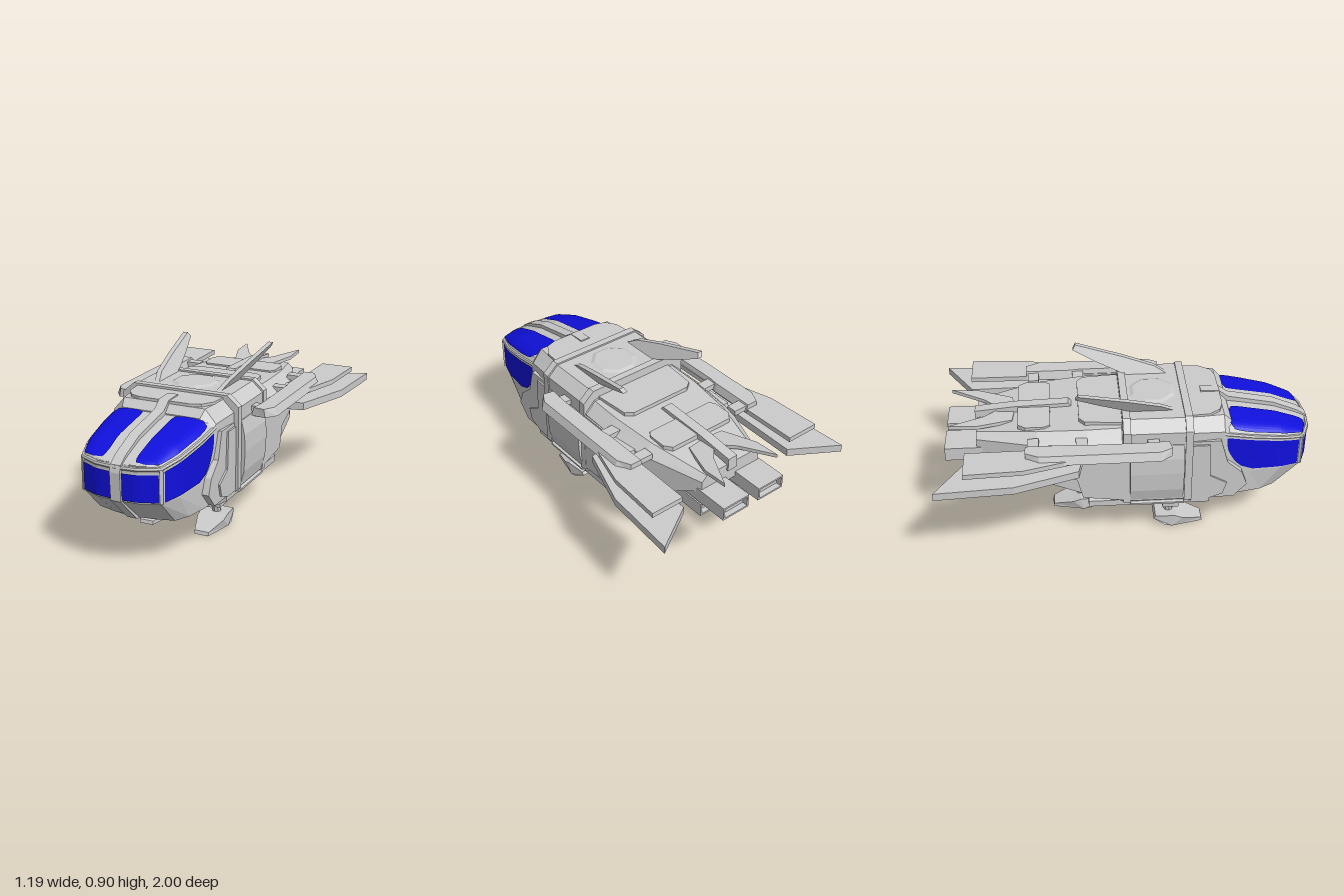
import * as THREE from 'three';

const grey = new THREE.MeshStandardMaterial({ color: 0xcccccc, flatShading: true, side: THREE.DoubleSide });
const blue = new THREE.MeshStandardMaterial({ color: 0x1010dd, flatShading: true, side: THREE.DoubleSide });
const lerp = THREE.MathUtils.lerp;

// piecewise-linear lookup in rows [key, value] with rising keys
function lookup(rows, k) {
  if (k <= rows[0][0]) return rows[0][1];
  for (let i = 1; i < rows.length; i++) {
    const [a, va] = rows[i - 1], [b, vb] = rows[i];
    if (k <= b) return lerp(va, vb, (k - a) / (b - a));
  }
  return rows[rows.length - 1][1];
}

function fromTriangles(pos) {
  const g = new THREE.BufferGeometry();
  g.setAttribute('position', new THREE.Float32BufferAttribute(pos, 3));
  g.computeVertexNormals();
  return g;
}

// surface grid from fn(u, v) -> [x, y, z]
function patch(fn, nu, nv) {
  const pos = [];
  for (let i = 0; i < nu; i++) for (let j = 0; j < nv; j++) {
    const a = fn(i / nu, j / nv), b = fn((i + 1) / nu, j / nv);
    const c = fn((i + 1) / nu, (j + 1) / nv), d = fn(i / nu, (j + 1) / nv);
    pos.push(...a, ...c, ...b, ...a, ...d, ...c);
  }
  return fromTriangles(pos);
}

// loft of chamfered sections, front to back: [z, halfWidth, bottom, top, chamferX, topChamferY, bottomChamferY]
function loft(stations) {
  const rings = stations.map(([z, w, y0, y1, c, ct, cb]) => [
    [w, y0 + cb, z], [w, y1 - ct, z], [w - c, y1, z], [c - w, y1, z],
    [-w, y1 - ct, z], [-w, y0 + cb, z], [c * 1.5 - w, y0, z], [w - c * 1.5, y0, z]]);
  const pos = [], n = 8;
  for (let s = 0; s + 1 < rings.length; s++) for (let i = 0; i < n; i++) {
    const k = (i + 1) % n, a = rings[s][i], b = rings[s][k], c = rings[s + 1][k], d = rings[s + 1][i];
    pos.push(...a, ...d, ...c, ...a, ...c, ...b);
  }
  const f = rings[0], r = rings[rings.length - 1];
  for (let i = 1; i < n - 1; i++) pos.push(...f[0], ...f[i], ...f[i + 1], ...r[0], ...r[i + 1], ...r[i]);
  return fromTriangles(pos);
}

function extrude(points, depth) {
  const shape = new THREE.Shape(points.map(p => new THREE.Vector2(...p)));
  return new THREE.ExtrudeGeometry(shape, { depth, bevelEnabled: false });
}
// plate outlined in plan by [x, z]
const planPlate = (pts, y0, y1) => extrude(pts.map(([x, z]) => [x, -z]), y1 - y0).rotateX(-Math.PI / 2).translate(0, y0, 0);
// plate outlined from the side by [z, y]
const sidePlate = (pts, x0, x1) => extrude(pts.map(([z, y]) => [-z, y]), x1 - x0).rotateY(Math.PI / 2).translate(x0, 0, 0);
const box = (x0, x1, y0, y1, z0, z1) =>
  new THREE.BoxGeometry(x1 - x0, y1 - y0, z1 - z0).translate((x0 + x1) / 2, (y0 + y1) / 2, (z0 + z1) / 2);

function moveVertices(g, rule) {
  const p = g.attributes.position, v = new THREE.Vector3();
  for (let i = 0; i < p.count; i++) {
    rule(v.fromBufferAttribute(p, i));
    p.setXYZ(i, v.x, v.y, v.z);
  }
  g.computeVertexNormals();
  return g;
}

// mirrored copy in x with the corner order put right
function mirror(g) {
  const m = g.index ? g.toNonIndexed() : g.clone();
  const p = m.attributes.position, a = new THREE.Vector3(), b = new THREE.Vector3();
  for (let i = 0; i < p.count; i += 3) {
    a.fromBufferAttribute(p, i + 1); b.fromBufferAttribute(p, i + 2);
    p.setXYZ(i + 1, b.x, b.y, b.z); p.setXYZ(i + 2, a.x, a.y, a.z);
  }
  m.scale(-1, 1, 1);
  m.computeVertexNormals();
  return m;
}

export function createModel() {
  const model = new THREE.Group();
  const add = (name, g, mat = grey) => {
    const m = new THREE.Mesh(g, mat);
    m.name = name;
    model.add(m);
  };
  const pair = (name, g, mat) => { add(name + 'Left', g, mat); add(name + 'Right', mirror(g), mat); };

  // main hull, hoop section and belly
  add('hull', loft([
    [0.54, 0.28, 0.235, 0.69, 0.06, 0.07, 0.04], [0.5, 0.29, 0.23, 0.73, 0.06, 0.07, 0.05],
    [0.3, 0.312, 0.2, 0.735, 0.06, 0.06, 0.08], [0, 0.325, 0.18, 0.735, 0.06, 0.06, 0.08],
    [-0.04, 0.325, 0.18, 0.695, 0.06, 0.06, 0.08], [-0.22, 0.325, 0.25, 0.69, 0.06, 0.06, 0.06],
    [-0.48, 0.3, 0.35, 0.675, 0.06, 0.05, 0.05], [-0.8, 0.19, 0.53, 0.635, 0.03, 0.03, 0.02]]));
  add('hoopSection', loft([0.29, -0.01].map(z => [z, 0.328, 0.18, 0.748, 0.06, 0.055, 0.08])));
  for (const z of [0.33, 0.005])
    add('hoopRib', loft([z, z - 0.04].map(q => [q, 0.335, 0.17, 0.757, 0.065, 0.055, 0.085])));
  add('belly', loft([0.43, -0.22].map(z => [z, 0.318, 0.175, 0.28, 0.06, 0.02, 0.05])));
  add('bellyKeel', loft([0.29, 0].map(z => [z, 0.335, 0.155, 0.265, 0.08, 0.02, 0.08])));
  pair('sidePanel', extrude([[0.31, 0.27], [0.33, 0.27], [0.348, 0.34], [0.354, 0.45], [0.35, 0.54], [0.332, 0.62], [0.31, 0.62]], 0.285));
  pair('cheekPlate', sidePlate([[0.48, 0.62], [0.52, 0.48], [0.6, 0.41], [0.63, 0.33], [0.56, 0.25], [0.3, 0.25], [0.3, 0.62]], 0.27, 0.312));
  pair('cheekInset', sidePlate([[0.42, 0.6], [0.43, 0.4], [0.52, 0.35], [0.5, 0.28], [0.42, 0.25], [0.3, 0.25], [0.3, 0.6]], 0.3, 0.322));
  pair('rearSidePlate', sidePlate([[-0.02, 0.63], [-0.42, 0.63], [-0.44, 0.5], [-0.28, 0.42], [-0.25, 0.3], [-0.02, 0.27]], 0.29, 0.334));

  // cockpit shell: plan outline, beltline and crown
  const outline = [[0, 0.985], [0.11, 0.975], [0.21, 0.935], [0.25, 0.82], [0.274, 0.65], [0.282, 0.5]];
  const widthRows = outline.map(([x, z]) => [z, x]).reverse();
  const beltRows = [[0.5, 0.64], [0.935, 0.56], [0.985, 0.555]];
  const crownRows = [[0.5, 0.69], [0.6, 0.675], [0.8, 0.638], [0.935, 0.588], [0.985, 0.562]];
  const width = z => lookup(widthRows, z), belt = z => lookup(beltRows, z);
  const roof = (s, z, lift = 0) =>
    [s * width(z), lerp(belt(z), lookup(crownRows, z), Math.sqrt(Math.max(0, 1 - s ** 6))) + lift, z];
  const full = [...outline.slice(1).reverse().map(([x, z]) => [-x, z]), ...outline];
  const wall = (u, v) => {
    const [x, z] = full[Math.round(u * 10)], row = Math.round(v * 3), low = 0.5 + (z - 0.5) * 0.68;
    return [[x, belt(z), z], [x, 0.385, z], [x, 0.245, low], [0, 0.237, low]][row];
  };
  add('cockpitRoof', patch((u, v) => roof(u * 2 - 1, 0.5 + 0.485 * v), 24, 16));
  add('cockpitWall', patch(wall, 10, 3));
  pair('roofWindow', patch((u, v) => {
    const k = (1 - Math.abs(2 * v - 1) ** 5) ** 0.2, z = lerp(0.535, 0.955, v);
    const inner = lerp(0.29, 0.37, v) + 0.2 * (1 - k), outer = 0.98 - 0.12 * (1 - k);
    return roof(lerp(inner, outer, u), z, 0.006);
  }, 14, 20), blue);
  pair('frontWindow', patch((u, v) => {
    const x = lerp(0.03, 0.205, u), z = lookup(outline, x);
    return [x, lerp(0.392, belt(z) - 0.026, v), z + 0.006];
  }, 6, 1), blue);
  pair('sideWindow', patch((u, v) => {
    const z = lerp(0.915, lookup([[0, 0.66], [0.12, 0.6], [0.3, 0.56], [0.6, 0.525], [1, 0.505]], v), u);
    return [width(z) + 0.005, lerp(lerp(0.388, 0.405, u), belt(z) - 0.02, v), z];
  }, 6, 8), blue);

  // cockpit framing
  const rim = new THREE.CurvePath();
  const rimPts = full.map(([x, z]) => new THREE.Vector3(x, belt(z), z));
  for (let i = 1; i < rimPts.length; i++) rim.add(new THREE.LineCurve3(rimPts[i - 1], rimPts[i]));
  add('beltFrame', new THREE.TubeGeometry(rim, 60, 0.011, 6));
  pair('windowPillar', box(-0.009, 0.009, 0.385, 0.56, -0.009, 0.009).rotateY(0.6).translate(0.211, 0, 0.93));
  add('cockpitSpine', sidePlate([[0.4, 0.752], [0.5, 0.748], [0.55, 0.71], [0.65, 0.69], [0.8, 0.66], [0.935, 0.604],
    [0.99, 0.568], [1, 0.53], [0.995, 0.385], [0.845, 0.24], [0.5, 0.23], [0.4, 0.3]], -0.028, 0.028));

  // roof fittings
  add('forwardHatch', planPlate([[-0.25, 0.3], [0.25, 0.3], [0.24, 0.42], [0.2, 0.48], [0.14, 0.5], [-0.14, 0.5], [-0.2, 0.48], [-0.24, 0.42]], 0.72, 0.745));
  add('roofDisc', new THREE.CylinderGeometry(0.11, 0.14, 0.012, 8).rotateY(Math.PI / 8).translate(0, 0.75, 0.14));
  add('rearDeck', planPlate([[-0.24, 0], [0.24, 0], [0.22, -0.23], [0.18, -0.26], [-0.18, -0.26], [-0.22, -0.23]], 0.68, 0.71));
  add('rearHatch', planPlate([[-0.22, -0.44], [-0.2, -0.41], [0.2, -0.41], [0.22, -0.44], [0.22, -0.54], [0.19, -0.58], [-0.19, -0.58], [-0.22, -0.54]], 0.65, 0.688));
  add('tailBoom', sidePlate([[-0.29, 0.68], [-0.31, 0.705], [-0.6, 0.695], [-0.81, 0.675], [-0.81, 0.6], [-0.6, 0.62]], -0.028, 0.028));

  // upright fins leaning outwards, and low tail fins
  pair('roofFin', moveVertices(
    sidePlate([[0.24, 0.745], [0.17, 0.785], [0, 0.835], [-0.26, 0.9], [-0.275, 0.875], [-0.15, 0.815], [-0.03, 0.765], [0.02, 0.745]], 0.168, 0.195),
    v => { v.x += 0.52 * (v.y - 0.745); }));
  pair('tailFin', moveVertices(
    planPlate([[0.025, -0.6], [0.025, -0.7], [0.08, -0.76], [0.175, -0.94], [0.175, -0.8], [0.11, -0.61]], 0.645, 0.665),
    v => { v.y -= 0.06 * (v.z + 0.6); }));

  // outrigger arms with bevelled tops, struts and two-level wings
  pair('outriggerArm', moveVertices(
    planPlate([[0.35, 0.2], [0.43, 0.21], [0.475, 0.15], [0.475, -0.47], [0.43, -0.54], [0.35, -0.54], [0.35, -0.3], [0.36, -0.24], [0.36, 0.1]], 0.625, 0.67),
    v => { if (v.y > 0.65) v.x = 0.4 + (v.x - 0.4) * 0.75; }));
  for (const z of [0.12, -0.25, -0.5]) pair('armStrut', box(0.28, 0.39, 0.63, 0.66, z - 0.03, z + 0.03));
  pair('upperWing', planPlate([[0.36, 0.18], [0.42, 0.18], [0.45, 0.1], [0.46, -0.3], [0.53, -0.55], [0.545, -0.85], [0.36, -0.85], [0.355, -0.35], [0.36, -0.2]], 0.615, 0.642));
  pair('lowerWing', planPlate([[0.36, -0.25], [0.46, -0.27], [0.57, -0.6], [0.595, -1], [0.35, -0.85]], 0.53, 0.572));
  pair('wingRoot', box(0.28, 0.37, 0.535, 0.565, -0.45, -0.27));

  // open rectangular exhausts, long above and short below
  for (const [y0, y1, z0, z1] of [[0.485, 0.56, -0.97, -0.5], [0.4, 0.475, -0.81, -0.4]]) {
    const rect = (c, a, b, d, e) => c.moveTo(a, d).lineTo(b, d).lineTo(b, e).lineTo(a, e).closePath();
    const shape = new THREE.Shape(), hole = new THREE.Path();
    rect(shape, 0.033, 0.2, y0, y1);
    rect(hole, 0.043, 0.19, y0 + 0.01, y1 - 0.01);
    shape.holes.push(hole);
    pair('exhaust', new THREE.ExtrudeGeometry(shape, { depth: z1 - z0, bevelEnabled: false }).translate(0, 0, z0));
    pair('exhaustCore', box(0.04, 0.193, y0 + 0.008, y1 - 0.008, z0 + 0.03, z1));
  }

  // landing gear: two front legs and one rear leg
  const foot = [[0.415, 0], [0.41, 0.02], [0.3, 0.055], [0.26, 0.07], [0.15, 0.065], [0.14, 0.045], [0.2, 0.01], [0.24, 0]];
  const taper = v => { v.x *= lookup([[0.14, 0.8], [0.2, 1], [0.3, 1], [0.415, 0.5]], Math.abs(v.z)); };
  const footPad = () => moveVertices(sidePlate(foot, -0.078, 0.078), taper);
  pair('frontFoot', footPad().translate(0.165, 0, 0));
  pair('frontLeg', new THREE.CylinderGeometry(0.024, 0.024, 0.09, 8).rotateX(0.2).translate(0.165, 0.09, 0.23));
  pair('legHousing', box(0.12, 0.21, 0.11, 0.15, 0.19, 0.28));
  pair('legCollar', box(0.11, 0.22, 0.145, 0.18, 0.18, 0.29));
  add('rearFoot', footPad().rotateY(Math.PI).translate(0, 0.014, 0));
  add('rearLeg', new THREE.TubeGeometry(new THREE.QuadraticBezierCurve3(
    new THREE.Vector3(0, 0.24, -0.17), new THREE.Vector3(0, 0.18, -0.25), new THREE.Vector3(0, 0.06, -0.26)), 8, 0.022, 8));
  add('rearLegCollar', box(-0.05, 0.05, 0.19, 0.26, -0.22, -0.14));
  return model;
}
